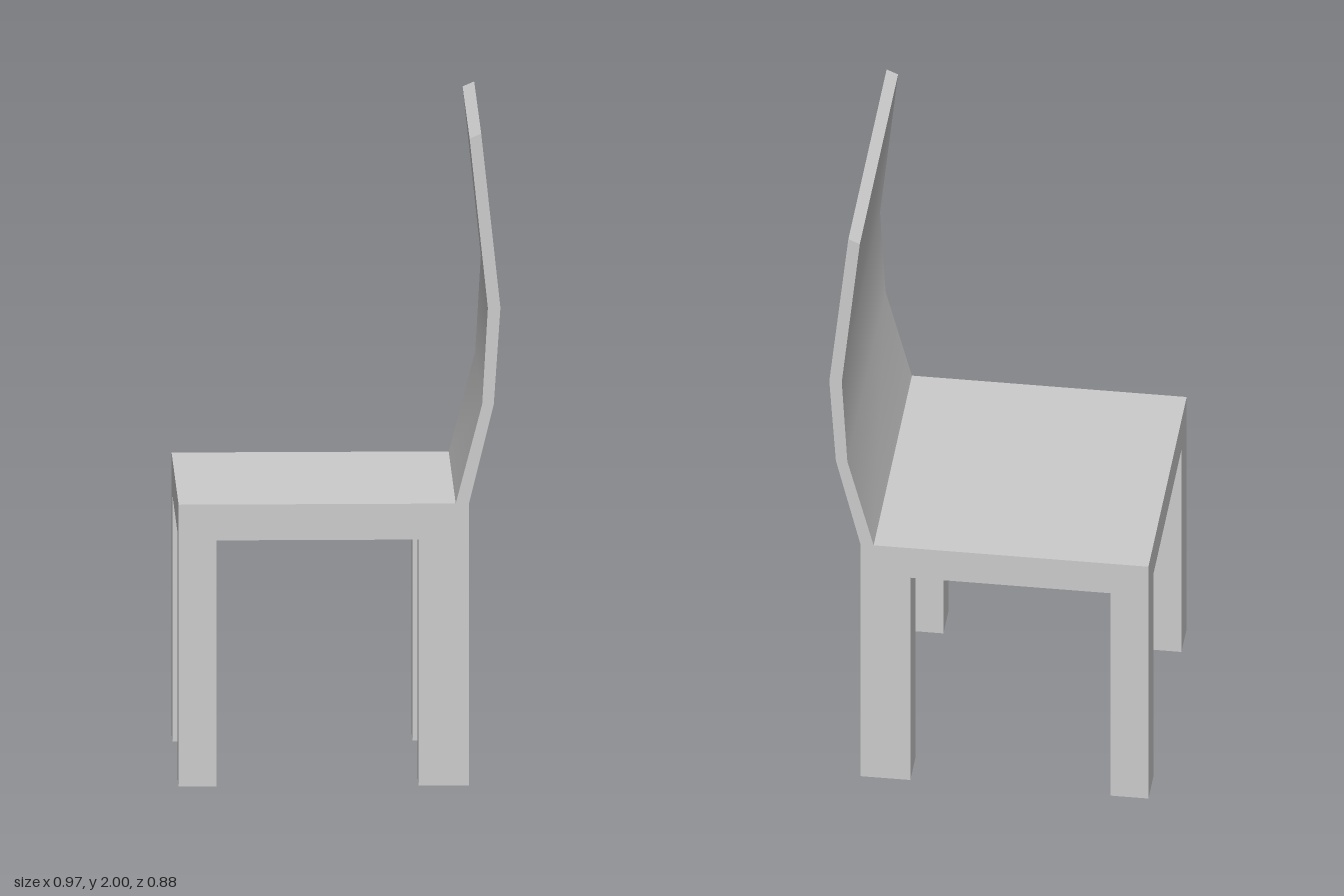
import * as THREE from 'three';
import { toCreasedNormals } from 'three/addons/utils/BufferGeometryUtils.js';

export function createModel() {
  const model = new THREE.Group();
  model.name = 'chair';
  const material = new THREE.MeshStandardMaterial({ color: 0xcccccc });

  const halfDepth = 0.44;
  const seatBottom = 0.755;
  const seatTop = 0.865;
  const seatEdge = -0.487; // free edge of the seat
  const seatRear = 0.39; // edge that carries the backrest

  // Seat and bent backrest: one side profile swept across the width
  const profile = new THREE.Shape([
    [seatEdge, seatBottom], [seatRear, seatBottom],
    [seatRear, seatTop], [0.465, 1.17], [0.485, 1.465], [0.427, 2],
    [0.392, 1.985], [0.447, 1.465], [0.43, 1.17], [0.35, seatTop],
    [seatEdge, seatTop],
  ].map(([x, y]) => new THREE.Vector2(x, y)));
  const sweep = new THREE.ExtrudeGeometry(profile, { depth: 2 * halfDepth, bevelEnabled: false });
  sweep.translate(0, 0, -halfDepth);
  const seat = new THREE.Mesh(toCreasedNormals(sweep, 0.5), material);
  seat.name = 'seatAndBackrest';
  model.add(seat);

  // Four legs, flush with the outer faces of the seat
  const legDepth = 0.12;
  const addLeg = (name, x0, x1, side) => {
    const leg = new THREE.Mesh(new THREE.BoxGeometry(x1 - x0, seatBottom, legDepth), material);
    leg.position.set((x0 + x1) / 2, seatBottom / 2, side * (halfDepth - legDepth / 2));
    leg.name = name;
    model.add(leg);
  };
  for (const side of [1, -1]) {
    const end = side > 0 ? 'Front' : 'Back';
    addLeg('seatEdgeLeg' + end, seatEdge, -0.372, side);
    addLeg('backrestLeg' + end, 0.238, seatRear, side);
  }

  return model;
}
